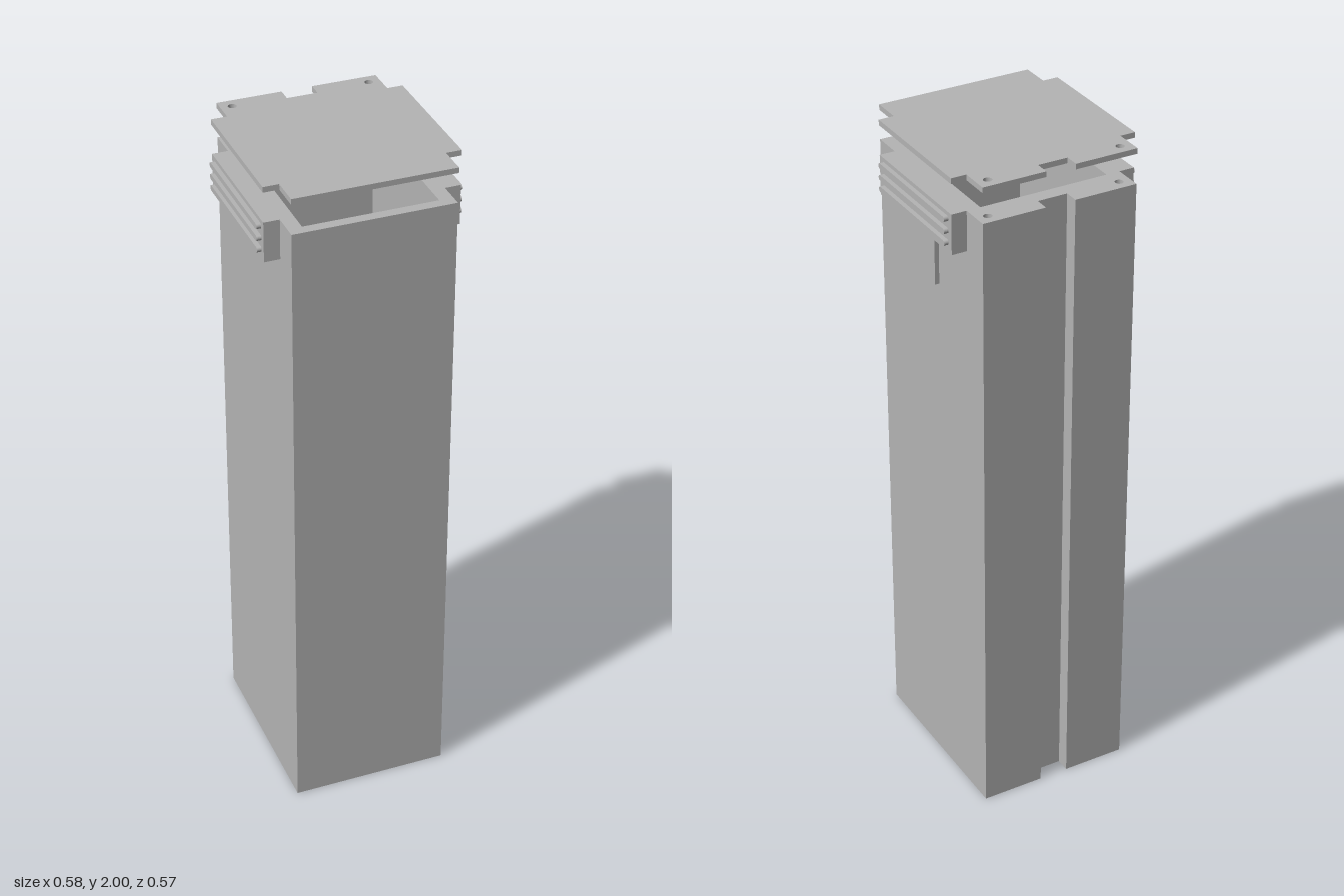
import * as THREE from 'three';

// Outline given as [x, z] points
function outline(points) {
  return new THREE.Shape(points.map(([x, z]) => new THREE.Vector2(x, -z)));
}

function circleHole(x, z, r) {
  const p = new THREE.Path();
  p.absarc(x, -z, r, 0, Math.PI * 2, true);
  return p;
}

function rectHole(x0, x1, z0, z1) {
  return new THREE.Path([[x0, z0], [x0, z1], [x1, z1], [x1, z0]].map(([x, z]) => new THREE.Vector2(x, -z)));
}

// Upright slab between two heights, cut by the given holes
function slab(points, holes, y0, y1) {
  const shape = outline(points);
  shape.holes.push(...holes);
  const g = new THREE.ExtrudeGeometry(shape, { depth: y1 - y0, bevelEnabled: false, curveSegments: 16 });
  return g.rotateX(-Math.PI / 2).translate(0, y0, 0);
}

const W = 0.23, D = 0.285, TAB = 0.275, TAB_Z = 0.2;
const groove = [[0.044, -D], [0.044, -0.243], [-0.044, -0.243], [-0.044, -D]];

export function createModel() {
  const group = new THREE.Group();
  const grey = new THREE.MeshStandardMaterial({ color: 0xb4b4b4 });
  grey.name = 'plain grey';

  const add = (name, geometry) => {
    const mesh = new THREE.Mesh(geometry, grey);
    mesh.name = name;
    group.add(mesh);
    return mesh;
  };

  // Hollow case with a cable groove down the back
  const bodyOutline = [[-W, D], [W, D], [W, -D], ...groove, [-W, -D]];
  const cavity = () => rectHole(-0.19, 0.19, -0.2, 0.255);
  const screwHoles = () => [-0.197, 0.197].map((x) => circleHole(x, -0.252, 0.012));

  add('caseFloor', slab(bodyOutline, [
    rectHole(-0.058, 0.058, 0.077, 0.233),
    circleHole(-0.115, 0.155, 0.011),
    circleHole(0.115, 0.155, 0.011),
  ], 0, 0.035));
  add('caseWalls', slab(bodyOutline, [cavity()], 0.035, 1.8));
  add('caseRim', slab(bodyOutline, [cavity(), ...screwHoles()], 1.8, 1.897));

  // Raised lid with side tabs
  add('lid', slab([
    [-W, D], [W, D], [W, TAB_Z], [TAB, TAB_Z], [TAB, -TAB_Z], [W, -TAB_Z], [W, -D],
    ...groove,
    [-W, -D], [-W, -TAB_Z], [-TAB, -TAB_Z], [-TAB, TAB_Z], [-W, TAB_Z],
  ], screwHoles(), 1.984, 2));

  // Round-ended rib, extruded along x
  const r = 0.008, half = 0.184 - r;
  const rib = new THREE.Shape();
  rib.absarc(half, 0, r, -Math.PI / 2, Math.PI / 2, false);
  rib.absarc(-half, 0, r, Math.PI / 2, Math.PI * 1.5, false);
  const ribGeometry = new THREE.ExtrudeGeometry(rib, { depth: 0.013, bevelEnabled: false, curveSegments: 10 });
  ribGeometry.rotateY(Math.PI / 2);

  // Side grips with three ribs each
  for (const side of [1, -1]) {
    const label = side > 0 ? 'left' : 'right';
    add(label + 'Grip', new THREE.BoxGeometry(TAB - W, 0.117, TAB_Z * 2))
      .position.set(side * (W + TAB) / 2, 1.8385, 0);
    [1.877, 1.842, 1.808].forEach((y, i) => {
      const mesh = add(label + 'Rib' + (i + 1), ribGeometry);
      mesh.position.set(side * TAB, y, 0);
      if (side < 0) mesh.rotation.y = Math.PI;
    });
  }

  // Thin strip hanging below one grip
  add('hangingStrip', new THREE.BoxGeometry(0.013, 0.172, 0.012)).position.set(W + 0.0065, 1.696, -0.038);

  return group;
}
